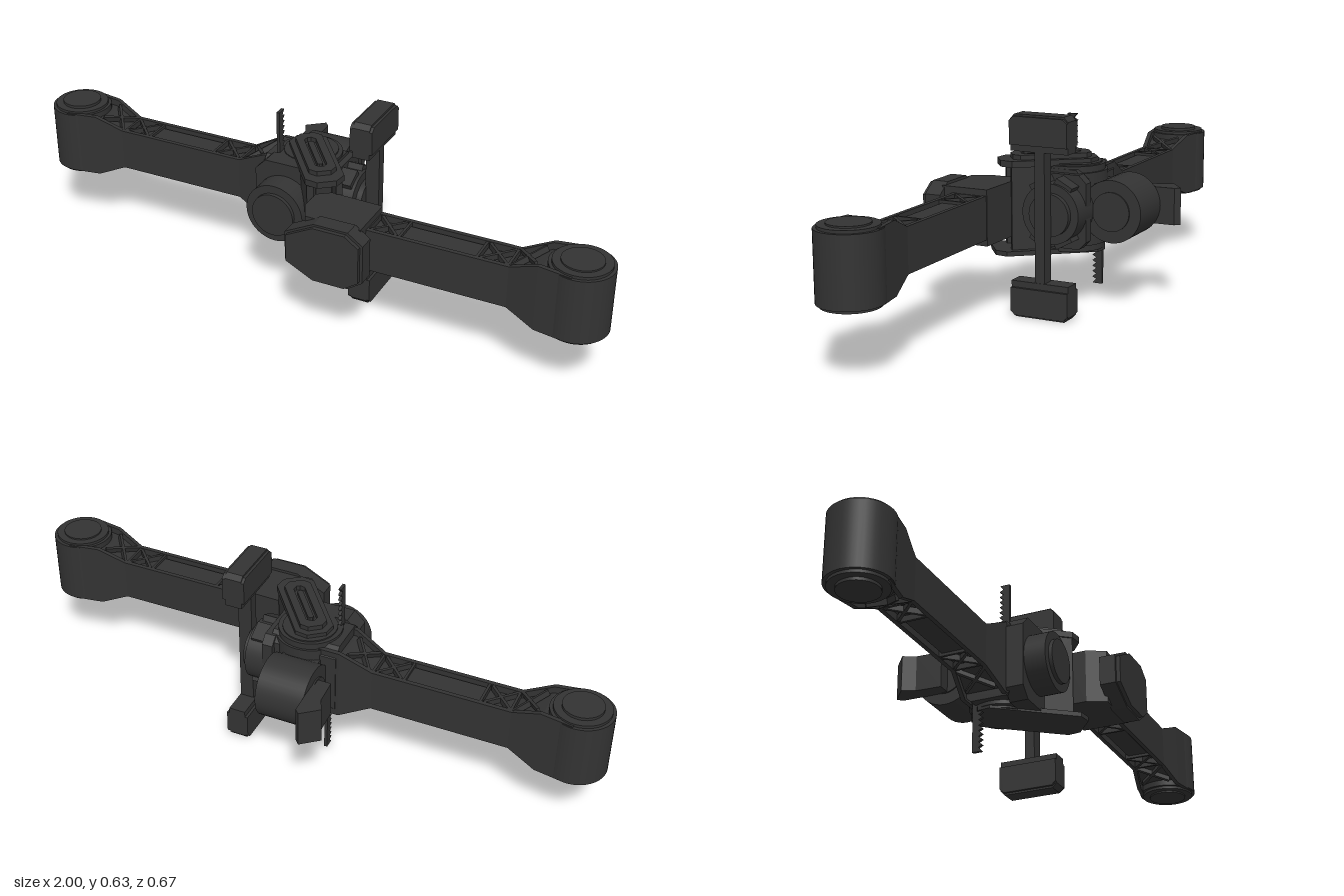
import * as THREE from 'three';

const CY = 0.318; // height of the arm centre line

export function createModel() {
  const graphite = new THREE.MeshStandardMaterial({ color: 0x333333, side: THREE.DoubleSide });
  graphite.name = 'graphite';
  const model = new THREE.Group();
  model.name = 'foldingArmGripper';

  const add = (parent, name, geo, x = 0, y = 0, z = 0) => {
    const m = new THREE.Mesh(geo, graphite);
    m.name = name;
    m.position.set(x, y, z);
    parent.add(m);
    return m;
  };
  const box = (parent, name, w, h, d, x, y, z) => add(parent, name, new THREE.BoxGeometry(w, h, d), x, y, z);
  const cyl = (parent, name, r, len, axis, x, y, z, r2 = r) => {
    const g = new THREE.CylinderGeometry(r, r2, len, 40);
    if (axis === 'x') g.rotateZ(-Math.PI / 2);
    if (axis === 'z') g.rotateX(Math.PI / 2);
    return add(parent, name, g, x, y, z);
  };
  const extrude = (pts, depth, holes = []) => {
    const s = new THREE.Shape(pts.map(p => new THREE.Vector2(...p)));
    holes.forEach(h => s.holes.push(new THREE.Path(h.map(p => new THREE.Vector2(...p)))));
    return new THREE.ExtrudeGeometry(s, { depth, bevelEnabled: false });
  };
  // plan outline [x, z] hanging down from a top height
  const plan = (pts, top, depth, holes) => extrude(pts, depth, holes).rotateX(Math.PI / 2).translate(0, top, 0);
  // side outline [z, y] running along x
  const side = (pts, x0, depth) => extrude(pts.map(([z, y]) => [-z, y]), depth).rotateY(Math.PI / 2).translate(x0, 0, 0);
  // rectangle with cut corners
  const cut = (x0, y0, x1, y1, c) => [[x0 + c, y0], [x1 - c, y0], [x1, y0 + c], [x1, y1 - c],
    [x1 - c, y1], [x0 + c, y1], [x0, y1 - c], [x0, y0 + c]];

  // H-shaped beam through stations [x, half height, half width]
  function channel(stations) {
    const rings = stations.map(([x, h, w]) => {
      const a = w - 0.014, b = h - 0.022;
      return [[-w, -h], [-a, -h], [-a, -b], [a, -b], [a, -h], [w, -h],
        [w, h], [a, h], [a, b], [-a, b], [-a, h], [-w, h]].map(([z, y]) => [x, y, z]);
    });
    const pos = [];
    for (let i = 0; i < rings.length - 1; i++) {
      for (let j = 0; j < 12; j++) {
        const k = (j + 1) % 12, A = rings[i][j], B = rings[i][k], C = rings[i + 1][k], D = rings[i + 1][j];
        pos.push(...A, ...C, ...B, ...A, ...D, ...C);
      }
    }
    const g = new THREE.BufferGeometry();
    g.setAttribute('position', new THREE.Float32BufferAttribute(pos, 3));
    g.computeVertexNormals();
    return g;
  }

  // diagonal braces filling a recess between x0 and x1
  function brace(parent, x0, x1, halfZ, y0, y1) {
    for (const s of [-1, 1]) for (const d of [-1, 1]) {
      const len = Math.hypot(x1 - x0, 2 * halfZ);
      const m = box(parent, 'crossBrace', len, 0.018, 0.009, (x0 + x1) / 2, s * (y0 + y1) / 2, 0);
      m.rotation.order = 'ZYX';
      m.rotation.set(0, d * Math.atan2(2 * halfZ, x1 - x0), s * Math.atan2(y1 - y0, x1 - x0));
    }
  }

  // arm pointing along +x with a round joint at its tip
  function arm(name, root, capHalf) {
    const g = new THREE.Group();
    g.name = name;
    add(g, 'beam', channel([...root, [0.27, 0.068, 0.058], [0.71, 0.068, 0.058], [0.8, 0.106, 0.076], [0.9, 0.106, 0.093]]));
    cyl(g, 'tipJoint', 0.096, 0.206, 'y', 0.903, 0, 0);
    cyl(g, 'tipRing', 0.086, 0.224, 'y', 0.903, 0, 0);
    cyl(g, 'tipCap', 0.062, capHalf * 2, 'y', 0.903, 0, 0);
    brace(g, 0.71, 0.79, 0.048, 0.06, 0.094);
    brace(g, 0.28, 0.36, 0.042, 0.058, 0.058);
    brace(g, 0.62, 0.7, 0.042, 0.058, 0.058);
    for (const s of [-1, 1]) {
      box(g, 'innerPanel', 0.24, 0.012, 0.07, 0.49, s * 0.052, 0);
      for (const x of [0.27, 0.37, 0.61, 0.705]) box(g, 'rib', 0.008, 0.018, 0.092, x, s * 0.058, 0);
    }
    model.add(g);
    return g;
  }
  const left = arm('leftArm', [[0.2, 0.068, 0.058]], 0.117);
  left.position.set(0, CY, 0.185);
  const right = arm('rightArm', [[0.1, 0.118, 0.075], [0.17, 0.118, 0.075]], 0.121);
  right.position.set(0, CY, -0.022);
  right.rotation.y = Math.PI;
  brace(right, 0.18, 0.26, 0.048, 0.102, 0.06);

  // root housing and front cover of the left arm
  add(model, 'leftRootHousing', plan([[0.06, 0.15], [0.1, 0.12], [0.27, 0.125], [0.27, 0.28], [0.09, 0.28], [0.06, 0.22]], 0.405, 0.175));
  const cover = [[0.045, 0.27], [0.14, 0.222], [0.25, 0.222], [0.298, 0.255], [0.298, 0.38],
    [0.25, 0.414], [0.14, 0.414], [0.045, 0.365]];
  add(model, 'frontCover', extrude(cover, 0.052).translate(0, 0, 0.272));
  const inner = cover.map(([x, y]) => [0.172 + (x - 0.172) * 0.93, CY + (y - CY) * 0.93]);
  add(model, 'frontCoverFace', extrude(inner, 0.065).translate(0, 0, 0.272));

  // central hub
  cyl(model, 'hub', 0.1, 0.27, 'y', -0.04, CY, -0.015);
  cyl(model, 'hubFlange', 0.112, 0.23, 'y', -0.04, CY, -0.01);
  for (const y of [0.435, 0.2]) cyl(model, 'hubRing', 0.085, 0.045, 'y', -0.04, y, -0.02);
  add(model, 'hubBlock', side(cut(-0.1, 0.195, 0.08, 0.445, 0.03), -0.16, 0.22));

  // slanted link plates joining the hub and the left root
  const link = new THREE.Group();
  link.name = 'slantedLink';
  link.position.set(-0.06, 0, -0.04);
  link.rotation.y = -0.9;
  const strip = (x0, x1, w, c) => cut(x0, -w, x1, w, c);
  add(link, 'topPlate', plan(strip(-0.04, 0.27, 0.06, 0.03), 0.47, 0.02));
  add(link, 'topRail', plan(strip(-0.02, 0.23, 0.042, 0.02), 0.485, 0.02, [strip(0.01, 0.2, 0.018, 0.012)]));
  add(link, 'slideKey', plan(strip(0.03, 0.18, 0.009, 0.005), 0.482, 0.02));
  add(link, 'bottomPlate', plan(strip(-0.06, 0.29, 0.075, 0.03), 0.189, 0.015));
  for (const s of [-1, 1]) box(link, 'linkWall', 0.22, 0.27, 0.02, 0.13, CY, s * 0.045);
  model.add(link);

  // front motor
  cyl(model, 'frontMotor', 0.096, 0.12, 'z', -0.068, CY, 0.12);
  cyl(model, 'frontMotorCap', 0.07, 0.02, 'z', -0.068, CY, 0.182);
  add(model, 'frontMotorMount', extrude(cut(-0.168, 0.18, 0.025, 0.455, 0.035), 0.06).translate(0, 0, 0.05));

  // back motor lying sideways, with its claw bracket
  cyl(model, 'backMotor', 0.099, 0.155, 'x', -0.05, CY, -0.175);
  cyl(model, 'backMotorCap', 0.062, 0.165, 'x', -0.05, CY, -0.175);
  box(model, 'backMotorNeck', 0.12, 0.16, 0.08, -0.05, CY, -0.1);
  add(model, 'clawBracket', plan([[-0.2, -0.29], [-0.145, -0.336], [-0.13, -0.32], [-0.125, -0.165],
    [-0.175, -0.165], [-0.18, -0.25]], 0.376, 0.118));

  // side motor that carries the gripper bar
  cyl(model, 'sideMotor', 0.095, 0.11, 'x', 0.085, CY, -0.022);
  cyl(model, 'sideMotorCap', 0.067, 0.02, 'x', 0.148, CY, -0.025);
  add(model, 'sideMotorMount', side(cut(-0.115, 0.2, 0.082, 0.434, 0.025), 0.045, 0.035));
  for (const sy of [-1, 1]) for (const sz of [-1, 1]) {
    const lug = box(model, 'mountLug', 0.06, 0.028, 0.06, 0.1, CY + sy * 0.085, -0.018 + sz * 0.04);
    lug.rotation.x = sy * sz * 0.5;
  }
  box(model, 'gripperBar', 0.045, 0.43, 0.033, 0.178, CY, -0.017);

  // jaws and toothed racks, the lower set turned half round
  const rackShape = [[0.045, 0.3], [0.045, 0.59], [0.012, 0.59]];
  for (let y = 0.585; y > 0.31; y -= 0.018) rackShape.push([0.024, y - 0.009], [0.011, y - 0.016]);
  for (const turn of [0, Math.PI]) {
    const jaw = new THREE.Group();
    jaw.name = turn ? 'lowerJaw' : 'upperJaw';
    jaw.position.set(0, 0.316, -0.017);
    jaw.rotation.x = turn;
    const dy = -0.316, dz = 0.017;
    add(jaw, 'pad', side([[-0.113, 0.518], [0.08, 0.518], [0.08, 0.616], [0.066, 0.631],
      [-0.099, 0.631], [-0.113, 0.616]], 0.147, 0.055), 0, dy, dz);
    add(jaw, 'padEdge', side([[-0.113, 0.538], [0.08, 0.538], [0.08, 0.612], [0.066, 0.625],
      [-0.099, 0.625], [-0.113, 0.612]], 0.138, 0.073), 0, dy, dz);
    add(jaw, 'rack', side(rackShape, -0.127, 0.01), 0, dy, dz);
    model.add(jaw);
  }
  cyl(model, 'pinion', 0.03, 0.02, 'x', -0.122, 0.316, -0.017);
  return model;
}
